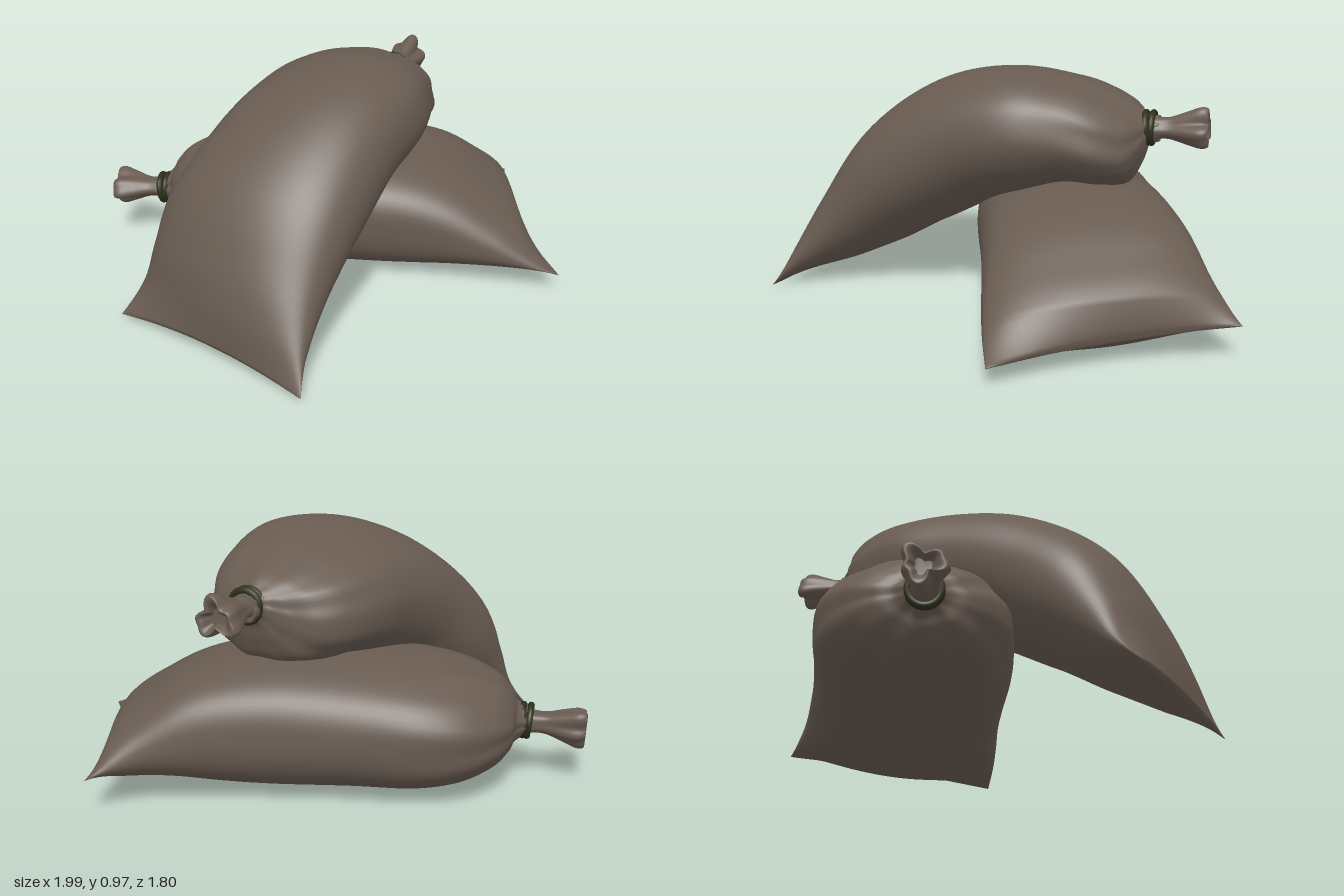
import * as THREE from 'three';

const RING = 72;   // points around a section
const STEPS = 7;   // rings between two stations

// Smooth curve through station values, one scalar column at a time
function sample(stations, s) {
  const n = stations.length - 1;
  const i = Math.min(Math.floor(s), n - 1), f = s - i;
  const a = stations[Math.max(i - 1, 0)], b = stations[i];
  const c = stations[i + 1], d = stations[Math.min(i + 2, n)];
  return b.map((_, k) => b[k] + 0.5 * f * (c[k] - a[k] + f * (2 * a[k] - 5 * b[k] + 4 * c[k] - d[k]
    + f * (3 * (b[k] - c[k]) + d[k] - a[k]))));
}

const spow = (v, e) => Math.sign(v) * Math.pow(Math.abs(v), e);

// Loft of cushion sections, whose planes turn to face the neck axis towards the end.
// station: centre x,y,z, half-width vector x,y,z, half thickness, squareness, fold depth
// pull moves the middle of the first seam, under scales the squareness of the underside
function loft(stations, axis, { pull = new THREE.Vector3(), under = 1, phase = 0, lobes = [7, 12] }) {
  const pos = [], index = [];
  const n = stations.length - 1, rows = n * STEPS;
  const centre = (v) => new THREE.Vector3(v[0], v[1], v[2]);
  for (let r = 0; r <= rows; r++) {
    const s = r / STEPS;
    const v = sample(stations, s);
    const C = centre(v), W = new THREE.Vector3(v[3], v[4], v[5]);
    const tan = centre(sample(stations, Math.min(s + 0.15, n)))
      .sub(centre(sample(stations, Math.max(s - 0.15, 0)))).normalize()
      .lerp(axis, THREE.MathUtils.smoothstep(s, n - 6, n - 3));
    const T = tan.clone().cross(W).normalize().multiplyScalar(Math.max(v[6], 0.004));
    for (let j = 0; j < RING; j++) {
      const t = (j / RING) * Math.PI * 2;
      const fold = 1 + v[8] * (0.6 * Math.sin(lobes[0] * t + 1 + phase)
        + 0.4 * Math.sin(lobes[1] * t + 2 + phase + s * 0.3));
      const e = 2 / (v[7] * (j > RING / 2 ? under : 1));
      const cu = spow(Math.cos(t), e), su = spow(Math.sin(t), e);
      const p = C.clone().addScaledVector(W, cu * fold).addScaledVector(T, su * fold);
      p.addScaledVector(pull, Math.max(0, 1 - s) * (1 - cu * cu));
      pos.push(p.x, Math.max(p.y, 0), p.z);
    }
  }
  for (let j = 0; j < RING; j++) {
    const j1 = (j + 1) % RING;
    for (let r = 0; r < rows; r++) {
      const a = r * RING + j, b = r * RING + j1;
      index.push(a, b, a + RING, b, b + RING, a + RING);
    }
  }
  // close both ends with strips from upper to lower edge
  const end = rows * RING;
  for (let j = 0; j < RING / 2; j++) {
    const b = j + 1, c = RING - j - 1, d = (RING - j) % RING;
    index.push(j, c, b, j, d, c, end + j, end + b, end + c, end + j, end + c, end + d);
  }
  const g = new THREE.BufferGeometry();
  g.setAttribute('position', new THREE.Float32BufferAttribute(pos, 3));
  g.setIndex(index);
  g.computeVertexNormals();
  return g;
}

// Gathered cloth beyond the tie: fraction along, radius, fold depth
const MOUTH = [
  [-0.1, 0.058, 0.05], [0.15, 0.05, 0.08], [0.35, 0.05, 0.12], [0.62, 0.068, 0.2],
  [0.86, 0.08, 0.32], [1, 0.07, 0.42], [0.98, 0.05, 0.42], [0.85, 0.03, 0.3],
];

function makeSack(name, body, base, tip, shape, cloth, cord) {
  const sack = new THREE.Group();
  sack.name = name;
  const add = (part, geo, mat) => {
    const m = new THREE.Mesh(geo, mat);
    m.name = part;
    sack.add(m);
    return m;
  };
  const axis = tip.clone().sub(base).normalize();
  add('sackBody', loft(body, axis, shape), cloth);

  const side = new THREE.Vector3(0, 1, 0).cross(axis).normalize();
  const mouth = MOUTH.map(([f, r, fold]) => {
    const c = base.clone().lerp(tip, f), w = side.clone().multiplyScalar(r);
    return [c.x, c.y, c.z, w.x, w.y, w.z, r * 0.85, 2, fold];
  });
  add('gatheredMouth', loft(mouth, axis, { phase: shape.phase, lobes: [3, 5] }), cloth);

  // two turns of cord around the neck
  for (const k of [-1, 1]) {
    const ring = add('tieCord', new THREE.TorusGeometry(0.06, 0.013, 10, 32), cord);
    ring.position.copy(base).addScaledVector(axis, k * 0.011);
    ring.quaternion.setFromUnitVectors(new THREE.Vector3(0, 0, 1), axis);
    ring.rotateX(k * 0.06);
  }
  return sack;
}

export function createModel() {
  const cloth = new THREE.MeshStandardMaterial({ color: 0x695c52 });
  cloth.name = 'brown cloth';
  const cord = new THREE.MeshStandardMaterial({ color: 0x2e3019 });
  cord.name = 'dark olive cord';

  const group = new THREE.Group();
  group.name = 'sackPile';

  // sack lying flat, seam at +x, neck at -x
  const lower = [
    [0.915, 0.118, -0.433, 0.08, -0.035, 0.47, 0.014, 1.8, 0],
    [0.79, 0.157, -0.415, 0.04, -0.03, 0.455, 0.115, 2.1, 0],
    [0.65, 0.20, -0.40, 0.02, -0.03, 0.435, 0.17, 2.5, 0],
    [0.45, 0.245, -0.395, 0, -0.03, 0.415, 0.23, 2.8, 0],
    [0.20, 0.262, -0.388, 0, -0.02, 0.402, 0.258, 2.8, 0],
    [-0.10, 0.26, -0.385, 0, -0.01, 0.395, 0.256, 2.6, 0],
    [-0.35, 0.255, -0.40, 0, 0, 0.382, 0.245, 2.5, 0.01],
    [-0.52, 0.25, -0.40, 0, 0, 0.345, 0.22, 2.3, 0.025],
    [-0.64, 0.25, -0.395, 0, 0, 0.265, 0.175, 2.1, 0.04],
    [-0.70, 0.25, -0.39, 0, 0, 0.18, 0.12, 2, 0.06],
    [-0.725, 0.25, -0.39, 0, 0, 0.10, 0.08, 2, 0.08],
    [-0.77, 0.25, -0.39, 0, 0, 0.055, 0.052, 2, 0.05],
  ];
  group.add(makeSack('lowerSack', lower, new THREE.Vector3(-0.765, 0.25, -0.385),
    new THREE.Vector3(-0.99, 0.24, -0.405),
    { pull: new THREE.Vector3(-0.07, 0, 0), under: 0.85, phase: 0 }, cloth, cord));

  // sack draped over it, seam on the ground at the front, neck at the back
  const upper = [
    [-0.43, 0.014, 0.622, -0.392, 0, -0.272, 0.014, 1.7, 0],
    [-0.375, 0.14, 0.53, -0.35, 0, -0.26, 0.11, 2, 0],
    [-0.32, 0.285, 0.42, -0.355, -0.025, -0.22, 0.19, 2.1, 0],
    [-0.225, 0.475, 0.26, -0.385, -0.065, -0.17, 0.255, 2.15, 0],
    [-0.09, 0.637, 0.045, -0.38, -0.09, -0.13, 0.272, 2.15, 0],
    [0.03, 0.712, -0.17, -0.37, -0.075, -0.12, 0.256, 2.2, 0.004],
    [0.10, 0.727, -0.36, -0.335, -0.045, -0.12, 0.215, 2.25, 0.012],
    [0.165, 0.71, -0.50, -0.285, -0.02, -0.11, 0.19, 2.2, 0.025],
    [0.21, 0.70, -0.59, -0.215, 0, -0.08, 0.16, 2.1, 0.035],
    [0.24, 0.722, -0.63, -0.13, 0, -0.045, 0.105, 2, 0.05],
    [0.262, 0.75, -0.65, -0.068, 0, -0.025, 0.062, 2, 0.05],
    [0.275, 0.758, -0.69, -0.05, 0, -0.018, 0.05, 2, 0.05],
  ];
  group.add(makeSack('upperSack', upper, new THREE.Vector3(0.27, 0.76, -0.65),
    new THREE.Vector3(0.345, 0.77, -0.865),
    { pull: new THREE.Vector3(0.01, 0.03, -0.015), phase: 1.7 }, cloth, cord));

  return group;
}
